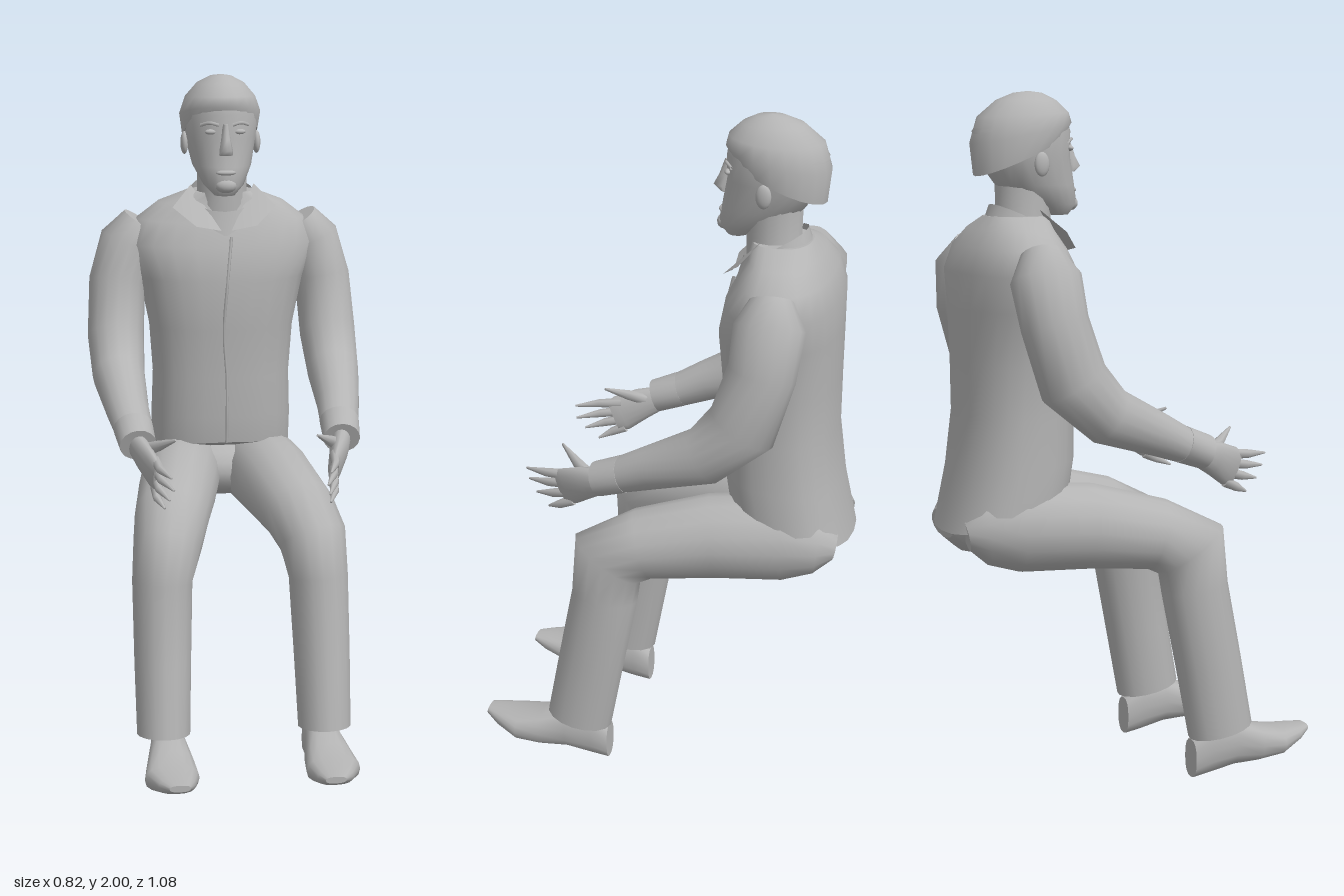
import * as THREE from 'three';

const V = (x, y, z) => new THREE.Vector3(x, y, z);
const gray = new THREE.MeshStandardMaterial({ color: 0xb4b4b4, side: THREE.DoubleSide });
gray.name = 'plain gray';

function add(parent, name, geometry) {
  const mesh = new THREE.Mesh(geometry, gray);
  mesh.name = name;
  parent.add(mesh);
  return mesh;
}

// Skin over cross-sections [x, y, z, halfWidth, halfDepth, tilt].
// Sections face along the path, or along dir when it is given.
function loft(rows, { dir = null, seg = 16, power = 2, caps = true } = {}) {
  const pos = [], idx = [];
  const centres = rows.map(r => V(r[0], r[1], r[2]));
  const round = v => Math.sign(v) * Math.pow(Math.abs(v), 2 / power);
  rows.forEach((r, i) => {
    const t = dir ? dir.clone() : centres[Math.min(i + 1, rows.length - 1)].clone()
      .sub(centres[Math.max(i - 1, 0)]).normalize();
    t.applyAxisAngle(V(1, 0, 0), -(r[5] || 0));
    const s = V(1, 0, 0).addScaledVector(t, -t.x).normalize();
    const u = s.clone().cross(t);
    for (let j = 0; j < seg; j++) {
      const a = j / seg * Math.PI * 2;
      const p = centres[i].clone().addScaledVector(s, r[3] * round(Math.cos(a)))
        .addScaledVector(u, r[4] * round(Math.sin(a)));
      pos.push(p.x, p.y, p.z);
    }
  });
  for (let i = 0; i < rows.length - 1; i++) {
    for (let j = 0; j < seg; j++) {
      const k = (j + 1) % seg, a = i * seg, b = a + seg;
      idx.push(a + j, b + j, a + k, a + k, b + j, b + k);
    }
  }
  if (caps) for (const end of [0, rows.length - 1]) {
    const first = pos.length / 3;
    for (let j = 0; j < seg; j++) pos.push(...pos.slice((end * seg + j) * 3, (end * seg + j) * 3 + 3));
    for (let j = 1; j < seg - 1; j++) {
      if (end === 0) idx.push(first, first + j, first + j + 1);
      else idx.push(first, first + j + 1, first + j);
    }
  }
  const g = new THREE.BufferGeometry();
  g.setAttribute('position', new THREE.Float32BufferAttribute(pos, 3));
  g.setIndex(idx);
  g.computeVertexNormals();
  return g;
}

function blob(parent, name, x, y, z, rx, ry, rz) {
  const m = add(parent, name, new THREE.SphereGeometry(1, 14, 10));
  m.position.set(x, y, z);
  m.scale.set(rx, ry, rz);
  return m;
}

// Flat convex outline as a thin sheet
function sheet(points) {
  const g = new THREE.BufferGeometry().setFromPoints(points);
  const idx = [];
  for (let i = 1; i < points.length - 1; i++) idx.push(0, i, i + 1);
  g.setIndex(idx);
  g.computeVertexNormals();
  return g;
}

function line(points, r) {
  return new THREE.TubeGeometry(new THREE.CatmullRomCurve3(points), 12, r, 5);
}

function buildHead() {
  const head = new THREE.Group();
  head.name = 'head';
  const up = V(0, 1, 0);
  add(head, 'neck', loft([
    [0, 1.54, -.295, .09, .09], [0, 1.66, -.28, .075, .078], [0, 1.78, -.28, .075, .08],
  ], { dir: up }));
  add(head, 'face', loft([
    [-.005, 1.655, -.175, .03, .03], [-.005, 1.685, -.2, .06, .08], [-.005, 1.74, -.245, .088, .115],
    [-.005, 1.82, -.282, .106, .138], [-.005, 1.89, -.285, .113, .142], [-.005, 1.95, -.272, .09, .112],
    [-.005, 1.985, -.265, .045, .06],
  ], { dir: up, seg: 20 }));
  // Hair cap, lower at the nape than at the brow
  add(head, 'hair', loft([
    [-.005, 1.825, -.292, .112, .145, .42], [-.005, 1.885, -.287, .121, .15, .2],
    [-.005, 1.935, -.28, .105, .133, .05], [-.005, 1.975, -.27, .07, .087],
    [-.005, 1.995, -.265, .032, .042], [-.005, 2, -.263, .001, .001],
  ], { dir: up, seg: 20 }));
  add(head, 'nose', loft([
    [-.005, 1.775, -.137, .02, .012], [-.005, 1.79, -.132, .02, .028],
    [-.005, 1.82, -.14, .014, .02], [-.005, 1.865, -.148, .008, .012],
  ], { dir: up, seg: 8 }));
  blob(head, 'lips', -.005, 1.725, -.136, .03, .009, .014);
  blob(head, 'chin', -.005, 1.687, -.138, .032, .022, .022);
  for (const s of [1, -1]) {
    blob(head, 'ear', -.005 + s * .108, 1.8, -.27, .012, .034, .022);
    blob(head, 'eye', -.005 + s * .042, 1.842, -.156, .018, .008, .01);
    add(head, 'brow', line([V(-.005 + s * .02, 1.862, -.146), V(-.005 + s * .045, 1.868, -.151),
      V(-.005 + s * .07, 1.86, -.172)], .005));
  }
  return head;
}

function buildShirt() {
  const shirt = new THREE.Group();
  shirt.name = 'shirt';
  const up = V(0, 1, 0);
  add(shirt, 'shirtBody', loft([
    [0, .835, -.355, .215, .195, .34], [0, .96, -.33, .215, .172, .12], [0, 1.1, -.32, .21, .16],
    [0, 1.25, -.315, .22, .165], [0, 1.4, -.31, .25, .17], [0, 1.5, -.32, .29, .158],
    [0, 1.57, -.325, .255, .13], [0, 1.62, -.32, .19, .1], [0, 1.655, -.305, .1, .085],
  ], { dir: up, seg: 24, power: 2.3 }));
  add(shirt, 'collarBand', loft([
    [0, 1.585, -.285, .115, .12, -.45], [0, 1.645, -.285, .1, .1, -.45],
  ], { dir: up, caps: false }));
  for (const s of [1, -1]) {
    add(shirt, 'collarFlap', sheet([
      V(s * .095, 1.675, -.27), V(s * .015, 1.55, -.165), V(s * .09, 1.565, -.158), V(s * .155, 1.615, -.215),
    ]));
  }
  add(shirt, 'placket', line([V(.015, 1.53, -.17), V(0, 1.4, -.141), V(-.01, 1.25, -.152),
    V(0, 1.1, -.161), V(0, .98, -.16), V(0, .9, -.172)], .005));
  return shirt;
}

function buildArm(s) {
  const arm = new THREE.Group();
  arm.name = s > 0 ? 'leftArm' : 'rightArm';
  const part = (name, rows, opt) => add(arm, name, loft(rows.map(r => [s * r[0], ...r.slice(1)]), opt));
  part('sleeve', [
    [.24, 1.56, -.33, .06, .06], [.28, 1.5, -.335, .085, .1], [.315, 1.38, -.325, .085, .095],
    [.325, 1.22, -.275, .085, .1], [.325, 1.12, -.17, .078, .083], [.312, 1.055, -.01, .063, .062],
    [.3, 1.015, .08, .056, .051],
  ]);
  part('cuff', [[.302, 1.02, .07, .058, .053], [.295, .99, .15, .053, .05]]);
  part('palm', [
    [.3, .99, .12, .028, .035], [.28, .965, .19, .027, .05],
    [.258, .935, .25, .02, .058], [.25, .925, .275, .014, .05],
  ]);
  // Tapered fingers fanning out from the knuckles
  const tips = [[.222, .957, .39], [.215, .92, .385], [.225, .885, .36], [.235, .85, .32]];
  tips.forEach((p, i) => {
    const base = [.255, .97 - i * .027, .25 - i * .004];
    const mid = base.map((v, k) => (v + p[k]) / 2 + (k === 0 ? .008 : 0));
    part('finger', [[...base, .014, .016], [...mid, .012, .013], [...p, .003, .003]], { seg: 7 });
  });
  part('thumb', [[.278, .98, .17, .016, .02], [.245, 1.005, .225, .014, .016], [.2, 1.037, .285, .003, .004]], { seg: 7 });
  return arm;
}

function buildLeg(s) {
  const leg = new THREE.Group();
  leg.name = s > 0 ? 'leftLeg' : 'rightLeg';
  const part = (name, rows, opt) => add(leg, name, loft(rows.map(r => [s * r[0], ...r.slice(1)]), opt));
  part('trouserLeg', [
    [.09, .77, -.5, .06, .045], [.1, .78, -.45, .1, .1], [.115, .785, -.35, .122, .13],
    [.15, .775, -.15, .12, .125], [.19, .74, .05, .11, .105], [.213, .69, .15, .1, .118],
    [.23, .58, .155, .088, .1], [.235, .35, .2, .083, .1], [.238, .14, .24, .078, .1],
  ]);
  part('shoe', [
    [.225, .058, .15, .036, .058], [.225, .085, .2, .048, .076], [.228, .095, .28, .055, .07],
    [.23, .083, .36, .07, .054], [.232, .082, .43, .078, .04], [.225, .092, .5, .052, .024],
    [.22, .102, .54, .03, .01],
  ], { dir: V(0, 0, 1), power: 2.5 });
  return leg;
}

export function createModel() {
  const man = new THREE.Group();
  man.name = 'seatedMan';
  man.add(buildHead(), buildShirt());
  blob(man, 'pelvis', 0, .79, -.36, .21, .1, .155);
  for (const s of [1, -1]) man.add(buildArm(s), buildLeg(s));
  return man;
}
